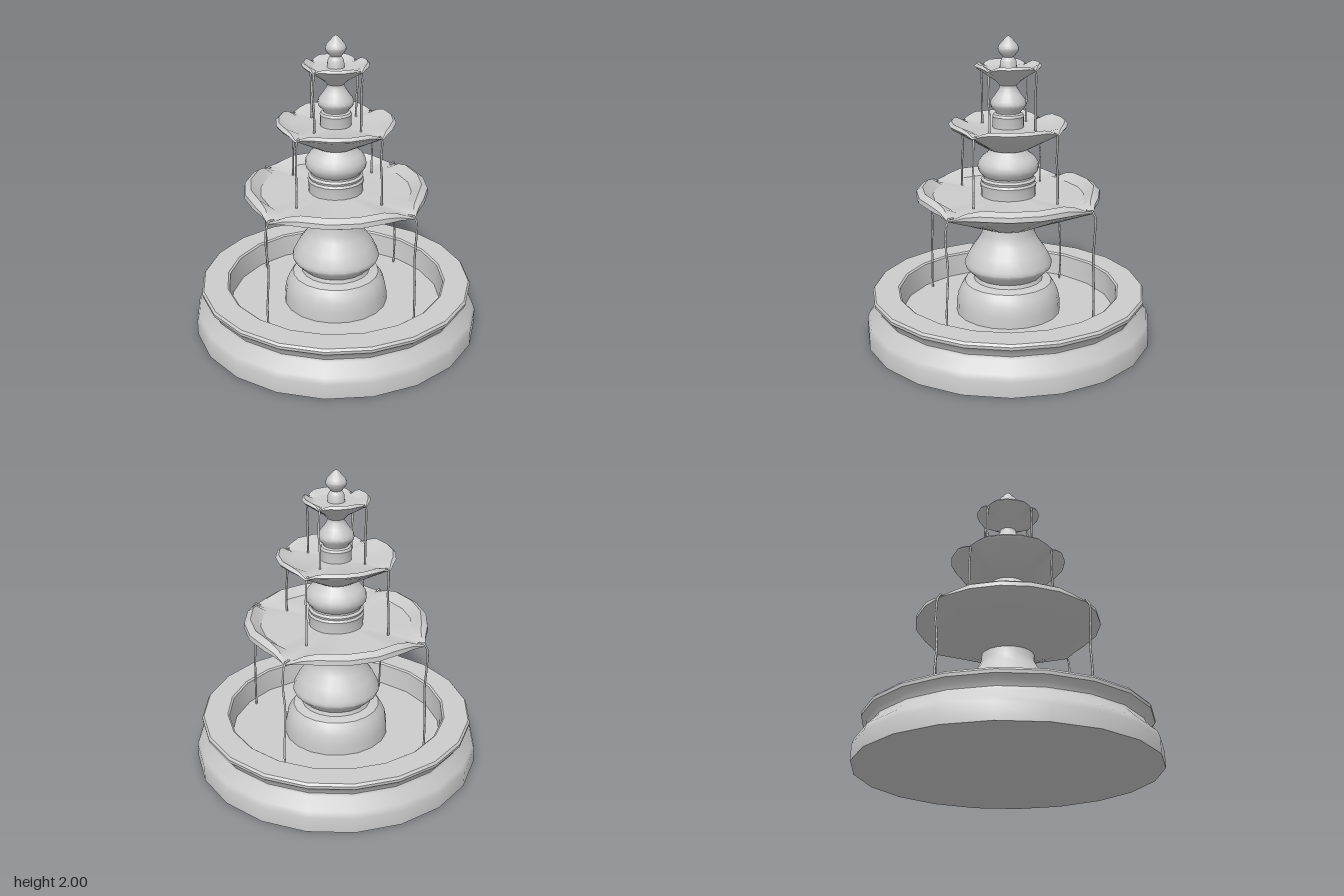
import * as THREE from 'three';
import { toCreasedNormals } from 'three/addons/utils/BufferGeometryUtils.js';

const stone = new THREE.MeshStandardMaterial({ color: 0xcccccc, side: THREE.DoubleSide });
const SIDES = 20;

function addMesh(parent, name, geometry) {
  const mesh = new THREE.Mesh(geometry, stone);
  mesh.name = name;
  parent.add(mesh);
}

// Turned part from [radius, height] pairs, bottom to top
function turned(profile) {
  const pts = profile.map(([r, y]) => new THREE.Vector2(r, y));
  return toCreasedNormals(new THREE.LatheGeometry(pts, SIDES), 0.6);
}

// Twenty-sided bowl whose rim is pulled down and outwards into four spouts
function spoutedBowl(profile) {
  const steps = [[0, 1], [3, 0.8], [9, 0.35], [18, 0], [36, 0], [54, 0], [72, 0], [81, 0.35], [87, 0.8]];
  const around = [];
  for (let q = 0; q < 4; q++) for (const [deg, w] of steps) around.push([deg + q * 90, w]);
  const n = around.length, pos = [], index = [];
  const rad = THREE.MathUtils.degToRad;
  profile.forEach(([r, y, out = 0, drop = 0], k) => {
    around.forEach(([deg, w], j) => {
      const flat = Math.cos(rad(9)) / Math.cos(rad((deg % 18) - 9));
      const radius = r * flat + out * w;
      pos.push(radius * Math.sin(rad(deg)), y - drop * w, radius * Math.cos(rad(deg)));
      if (k === 0) return;
      const a = (k - 1) * n + j, b = (k - 1) * n + (j + 1) % n;
      index.push(a, b, b + n, a, b + n, a + n);
    });
  });
  const g = new THREE.BufferGeometry();
  g.setAttribute('position', new THREE.Float32BufferAttribute(pos, 3));
  g.setIndex(index);
  return toCreasedNormals(g, 0.5);
}

// Four thin water streams, one falling from each spout
function streams(parent, name, path) {
  const curve = new THREE.CatmullRomCurve3(path.map(([x, y, z = 0]) => new THREE.Vector3(x, y, z)));
  const geometry = new THREE.TubeGeometry(curve, 20, 0.007, 6);
  const group = new THREE.Group();
  group.name = name;
  for (let i = 0; i < 4; i++) {
    addMesh(group, 'waterStream', geometry);
    group.children[i].rotation.y = i * Math.PI / 2;
  }
  parent.add(group);
}

export function createModel() {
  const model = new THREE.Group();
  model.name = 'tieredFountain';

  // Ground basin with moulded wall and recessed floor
  addMesh(model, 'basin', turned([
    [0, 0], [0.955, 0], [0.955, 0.1], [0.94, 0.14], [0.875, 0.205], [0.868, 0.225], [0.88, 0.255],
    [0.91, 0.285], [0.912, 0.305], [0.9, 0.32], [0.74, 0.32], [0.728, 0.31], [0.715, 0.16], [0, 0.16],
  ]));

  // Columns between the tiers
  addMesh(model, 'lowerColumn', turned([
    [0.35, 0.16], [0.347, 0.23], [0.335, 0.29], [0.315, 0.335], [0.29, 0.37], [0.23, 0.385], [0.222, 0.41],
    [0.283, 0.47], [0.292, 0.49], [0.288, 0.515], [0.25, 0.59], [0.2, 0.66], [0.175, 0.71], [0.17, 0.78],
  ]));
  addMesh(model, 'middleColumn', turned([
    [0.18, 0.96], [0.18, 1.02], [0.185, 1.045], [0.175, 1.06], [0.18, 1.075], [0.165, 1.088], [0.165, 1.1],
    [0.195, 1.135], [0.2, 1.16], [0.195, 1.19], [0.17, 1.225], [0.13, 1.255], [0.115, 1.28], [0.12, 1.3],
  ]));
  addMesh(model, 'upperColumn', turned([
    [0.1, 1.41], [0.1, 1.475], [0.103, 1.49], [0.095, 1.505], [0.08, 1.512], [0.085, 1.525], [0.11, 1.55],
    [0.116, 1.57], [0.11, 1.595], [0.08, 1.635], [0.058, 1.67], [0.055, 1.69], [0.065, 1.72],
  ]));
  addMesh(model, 'finial', turned([
    [0.055, 1.79], [0.052, 1.84], [0.045, 1.852], [0.035, 1.868], [0.045, 1.88], [0.064, 1.905],
    [0.067, 1.922], [0.058, 1.945], [0.03, 1.975], [0.015, 1.993], [0, 2],
  ]));

  // Bowls: [radius, height, spout reach, spout drop]
  addMesh(model, 'lowerBowl', spoutedBowl([
    [0.165, 0.76], [0.19, 0.762], [0.605, 0.965, 0.03, 0.02], [0.6, 0.995, 0.04, 0.047],
    [0.56, 1.02, 0.06, 0.066], [0.495, 0.968, 0.02, 0.006], [0, 0.968],
  ]));
  addMesh(model, 'middleBowl', spoutedBowl([
    [0.11, 1.27], [0.135, 1.278], [0.375, 1.425, -0.005, 0.02], [0.385, 1.44, 0, 0.033],
    [0.365, 1.458, 0.012, 0.045], [0.285, 1.418, 0.02, 0.002], [0, 1.418],
  ]));
  addMesh(model, 'upperBowl', spoutedBowl([
    [0.055, 1.69], [0.085, 1.72], [0.205, 1.802, -0.003, 0.012], [0.214, 1.813, 0, 0.02],
    [0.2, 1.829, 0.01, 0.032], [0.145, 1.797, 0.01, 0.001], [0, 1.797],
  ]));

  // Falling water
  streams(model, 'lowerStreams', [
    [0.59, 0.958], [0.635, 0.963], [0.655, 0.93], [0.658, 0.8, 0.006], [0.648, 0.65], [0.656, 0.5], [0.662, 0.35, 0.005], [0.66, 0.15],
  ]);
  streams(model, 'middleStreams', [
    [0.35, 1.418], [0.368, 1.415], [0.374, 1.38], [0.373, 1.25, 0.006], [0.379, 1.12], [0.38, 0.96],
  ]);
  streams(model, 'upperStreams', [
    [0.19, 1.8], [0.203, 1.798], [0.21, 1.77], [0.211, 1.65, 0.005], [0.207, 1.53], [0.207, 1.41],
  ]);
  return model;
}
